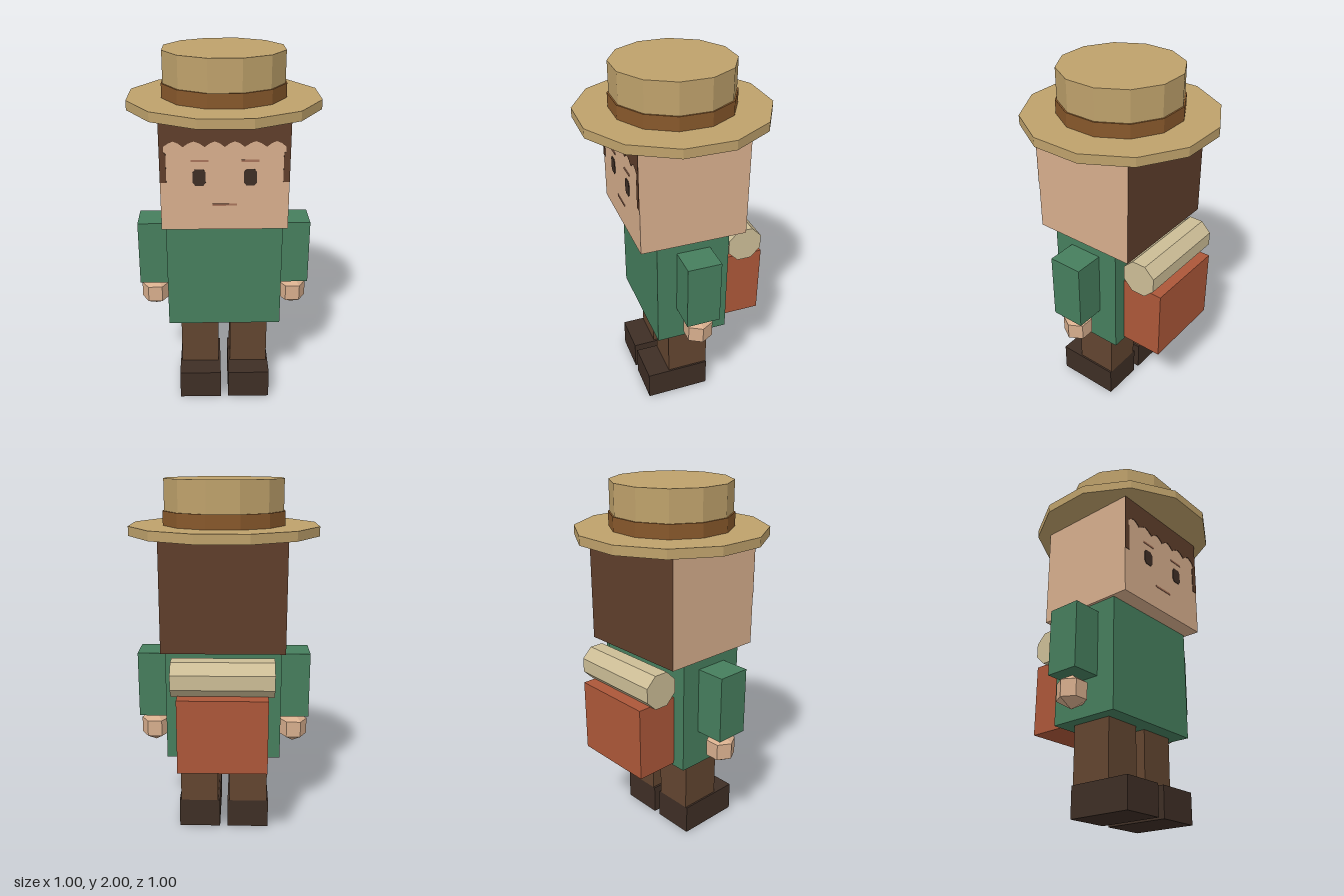
import * as THREE from 'three';

function mat(name, color) {
  return new THREE.MeshStandardMaterial({ name, color, flatShading: true });
}

export function createModel() {
  const straw = mat('straw', 0xbea16b);
  const band = mat('hat band brown', 0x87582b);
  const skin = mat('skin', 0xd7ae8d);
  const hair = mat('hair brown', 0x5f3e2b);
  const green = mat('shirt green', 0x467e5d);
  const trousers = mat('trouser brown', 0x624530);
  const dark = mat('dark brown', 0x3e2e25);
  const rust = mat('pack rust', 0xac5739);
  const canvas = mat('canvas', 0xccbd96);
  const blush = mat('face line', 0xa8745a);

  const model = new THREE.Group();
  model.name = 'traveller';

  function add(name, geometry, material) {
    const mesh = new THREE.Mesh(geometry, material);
    mesh.name = name;
    model.add(mesh);
    return mesh;
  }

  // Box given by its limits on each axis
  function box(name, material, [x0, x1], [y0, y1], [z0, z1]) {
    const mesh = add(name, new THREE.BoxGeometry(x1 - x0, y1 - y0, z1 - z0), material);
    mesh.position.set((x0 + x1) / 2, (y0 + y1) / 2, (z0 + z1) / 2);
    return mesh;
  }

  // Upright prism with flat sides facing the axes; size is centre to flat side
  function prism(name, material, sides, apothem, y0, y1) {
    const half = Math.PI / sides;
    const r = apothem / Math.cos(half);
    const geometry = new THREE.CylinderGeometry(r, r, y1 - y0, sides, 1, false, half);
    const mesh = add(name, geometry, material);
    mesh.position.y = (y0 + y1) / 2;
    return mesh;
  }

  // Thin plate on the front of the face
  const faceZ = 0.295;
  function facePlate(name, shape, material) {
    const geometry = new THREE.ExtrudeGeometry(shape, { depth: 0.003, bevelEnabled: false });
    const mesh = add(name, geometry, material);
    mesh.position.z = faceZ;
    return mesh;
  }

  // Hat
  prism('hatBrim', straw, 12, 0.5, 1.71, 1.76);
  prism('hatBand', band, 12, 0.322, 1.76, 1.835);
  prism('hatCrown', straw, 12, 0.314, 1.835, 2);

  // Head with hair covering the back
  box('head', [skin, skin, skin, skin, skin, hair], [-0.33, 0.33], [1.115, 1.71], [-faceZ, faceZ]);

  // Scalloped fringe with sideburns
  const fringe = new THREE.Shape();
  fringe.moveTo(-0.33, 1.71);
  fringe.lineTo(-0.33, 1.375);
  fringe.lineTo(-0.297, 1.375);
  fringe.lineTo(-0.297, 1.53);
  fringe.lineTo(-0.307, 1.535);
  fringe.lineTo(-0.307, 1.565);
  const dips = [-0.307, -0.21, -0.1, 0, 0.1, 0.21, 0.307];
  for (let i = 1; i < dips.length; i++) {
    const a = dips[i - 1], b = dips[i];
    fringe.lineTo(a + (b - a) * 0.25, 1.582);
    fringe.lineTo(a + (b - a) * 0.5, 1.592);
    fringe.lineTo(a + (b - a) * 0.75, 1.582);
    fringe.lineTo(b, 1.563);
  }
  fringe.lineTo(0.307, 1.535);
  fringe.lineTo(0.297, 1.53);
  fringe.lineTo(0.297, 1.375);
  fringe.lineTo(0.33, 1.375);
  fringe.lineTo(0.33, 1.71);
  facePlate('fringe', fringe, hair);

  // Eyes and brows
  const eye = new THREE.Shape([
    [-0.02, -0.044], [0.02, -0.044], [0.033, -0.028], [0.033, 0.028],
    [0.02, 0.044], [-0.02, 0.044], [-0.033, 0.028], [-0.033, -0.028],
  ].map(([x, y]) => new THREE.Vector2(x, y)));
  for (const [side, s] of [['left', 1], ['right', -1]]) {
    const mesh = facePlate(side + 'Eye', eye, dark);
    mesh.position.x = s * 0.13;
    mesh.position.y = 1.402;
    const x = s * 0.128;
    box(side + 'Brow', blush, [x - 0.045, x + 0.045], [1.485, 1.496], [faceZ - 0.003, faceZ + 0.003]);
  }
  box('mouth', blush, [-0.063, 0.063], [1.248, 1.259], [faceZ - 0.003, faceZ + 0.003]);

  // Body
  box('torso', green, [-0.315, 0.315], [0.485, 1.115], [-0.204, 0.204]);

  // Limbs, mirrored
  const span = (s, a, b) => (s > 0 ? [a, b] : [-b, -a]);
  for (const [side, s] of [['left', 1], ['right', -1]]) {
    box(side + 'Arm', green, span(s, 0.315, 0.48), [0.69, 1.06], [-0.094, 0.094]);
    const hand = add(side + 'Hand', new THREE.SphereGeometry(0.0925, 6, 3), skin);
    hand.position.set(s * 0.4, 0.599, 0);
    box(side + 'Leg', trousers, span(s, 0.034, 0.25), [0.168, 0.485], [-0.119, 0.119]);
    box(side + 'Shoe', dark, span(s, 0.022, 0.26), [0, 0.168], [-0.119, 0.247]);
  }

  // Backpack and bedroll
  box('backpack', rust, [-0.239, 0.239], [0.5, 0.907], [-0.443, -0.204]);
  const roll = prism('bedroll', canvas, 8, 0.095, -0.272, 0.272);
  roll.rotation.z = Math.PI / 2;
  roll.position.set(0, 0.995, -0.323);

  return model;
}
